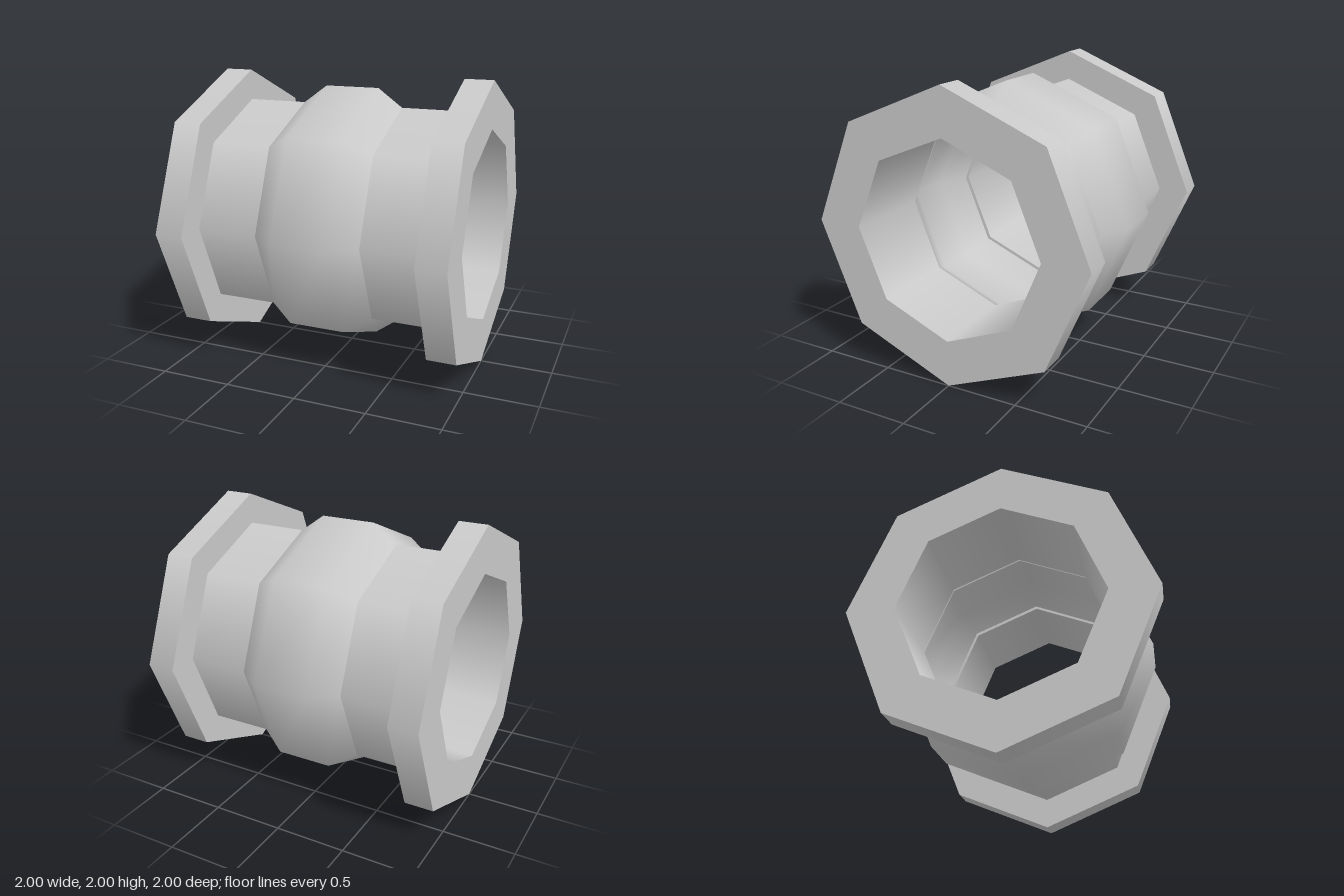
import * as THREE from 'three';
import { mergeGeometries } from 'three/addons/utils/BufferGeometryUtils.js';

const SIDES = 8;
const BORE = 0.677;
const PIPE = 0.785;

// Revolve runs of [x, radius] points about the x axis; shading is smooth
// within a run and sharp between runs. Rising x faces outward, falling x inward.
function revolve(name, runs) {
  const parts = runs.map((run) =>
    new THREE.LatheGeometry(run.map(([x, r]) => new THREE.Vector2(r, x)), SIDES));
  const geometry = mergeGeometries(parts);
  geometry.rotateZ(-Math.PI / 2);
  const mesh = new THREE.Mesh(geometry, new THREE.MeshStandardMaterial({ color: 0xcccccc }));
  mesh.name = name;
  mesh.position.y = 1;
  return mesh;
}

// Straight hollow ring with four sharp rims
function ring(name, x0, x1, outer, inner) {
  return revolve(name, [
    [[x0, outer], [x1, outer]],
    [[x1, outer], [x1, inner]],
    [[x1, inner], [x0, inner]],
    [[x0, inner], [x0, outer]],
  ]);
}

export function createModel() {
  const group = new THREE.Group();
  group.name = 'pipeCoupling';

  // End flanges and the pipe necks beside them
  for (const [side, s] of [['left', 1], ['right', -1]]) {
    const span = (a, b) => (s > 0 ? [a, b] : [-b, -a]);
    group.add(ring(side + 'Flange', ...span(0.8, 1), 1, BORE));
    group.add(ring(side + 'Neck', ...span(0.37, 0.8), PIPE, BORE));
  }

  // Bulging middle shell, hollow inside
  group.add(revolve('bulge', [
    [[-0.37, PIPE], [-0.195, 0.912], [0.195, 0.912], [0.37, PIPE]],
    [[0.37, PIPE], [0.345, 0.685]],
    [[0.345, 0.685], [0.165, 0.804], [-0.165, 0.804], [-0.345, 0.685]],
    [[-0.345, 0.685], [-0.37, PIPE]],
  ]));

  return group;
}
